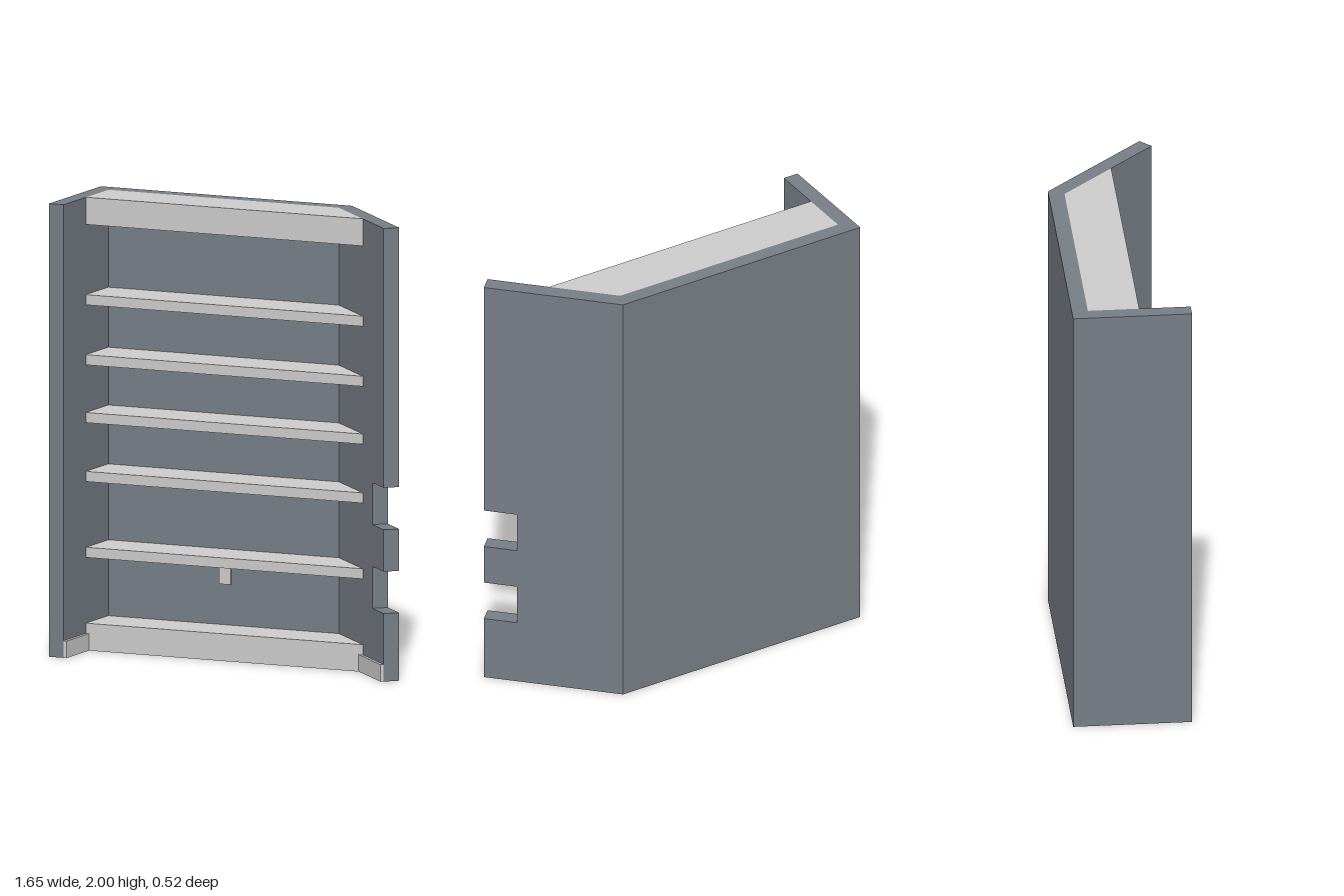
import * as THREE from 'three';

const wallMat = new THREE.MeshStandardMaterial({ color: 0x777e86 });
const greyMat = new THREE.MeshStandardMaterial({ color: 0xcccccc });

// Shape from [x, y] points
const shapeOf = (pts) => new THREE.Shape(pts.map(([x, y]) => new THREE.Vector2(x, y)));

// Upright prism from a plan outline given as [x, z] points
function prism(name, plan, y0, y1, mat) {
  const geo = new THREE.ExtrudeGeometry(shapeOf(plan.map(([x, z]) => [x, -z])), {
    depth: y1 - y0, bevelEnabled: false,
  });
  geo.rotateX(-Math.PI / 2).translate(0, y0, 0);
  const mesh = new THREE.Mesh(geo, mat);
  mesh.name = name;
  return mesh;
}

// Slanted wall: notched elevation, swung to 45 degrees and mitred at the corner
function angledWall() {
  const start = 0.385, end = 0.825, notch = 0.72;
  const outline = [[start, 0], [end, 0]];
  for (const [lo, hi] of [[0.3, 0.485], [0.67, 0.855]]) {
    outline.push([end, lo], [notch, lo], [notch, hi], [end, hi]);
  }
  outline.push([end, 2], [start, 2]);
  const geo = new THREE.ExtrudeGeometry(shapeOf(outline), { depth: 1, bevelEnabled: false });
  const p = geo.attributes.position;
  for (let i = 0; i < p.count; i++) {
    const u = p.getX(i);
    const inner = p.getZ(i) > 0.5;
    const x = !inner ? u : u < start + 0.01 ? 0.355 : u - 0.05;
    p.setXYZ(i, x, p.getY(i), x - (inner ? 0.545 : 0.645));
  }
  geo.computeVertexNormals();
  const mesh = new THREE.Mesh(geo, wallMat);
  mesh.name = 'angledWall';
  return mesh;
}

export function createModel() {
  const model = new THREE.Group();
  model.name = 'shelvedAlcove';

  // Back wall and straight side wall in one L-shaped piece
  model.add(prism('backAndSideWall', [
    [-0.83, 0.26], [-0.83, -0.26], [0.385, -0.26],
    [0.355, -0.19], [-0.76, -0.19], [-0.76, 0.26],
  ], 0, 2, wallMat));
  model.add(angledWall());

  // Plinth, shelves and top fascia share one plan
  const shelfPlan = [[-0.76, -0.19], [0.355, -0.19], [0.58, 0.035], [-0.76, 0.035]];
  model.add(prism('plinth', shelfPlan, 0, 0.12, greyMat));
  for (const y of [0.41, 0.745, 1.005, 1.26, 1.525]) {
    model.add(prism('shelf', shelfPlan, y, y + 0.045, greyMat));
  }
  model.add(prism('topFascia', shelfPlan, 1.88, 2, greyMat));

  // Skirting boards in front of the plinth
  model.add(prism('sideSkirting', [
    [-0.76, 0.035], [-0.745, 0.035], [-0.745, 0.26], [-0.76, 0.26],
  ], 0, 0.075, greyMat));
  model.add(prism('angledSkirting', [
    [0.58, 0.035], [0.775, 0.23], [0.765, 0.24], [0.56, 0.035],
  ], 0, 0.075, greyMat));

  // Small socket plate on the back wall
  const socket = new THREE.Mesh(new THREE.BoxGeometry(0.055, 0.09, 0.01), greyMat);
  socket.position.set(-0.1925, 0.345, -0.185);
  socket.name = 'socketPlate';
  model.add(socket);

  return model;
}
